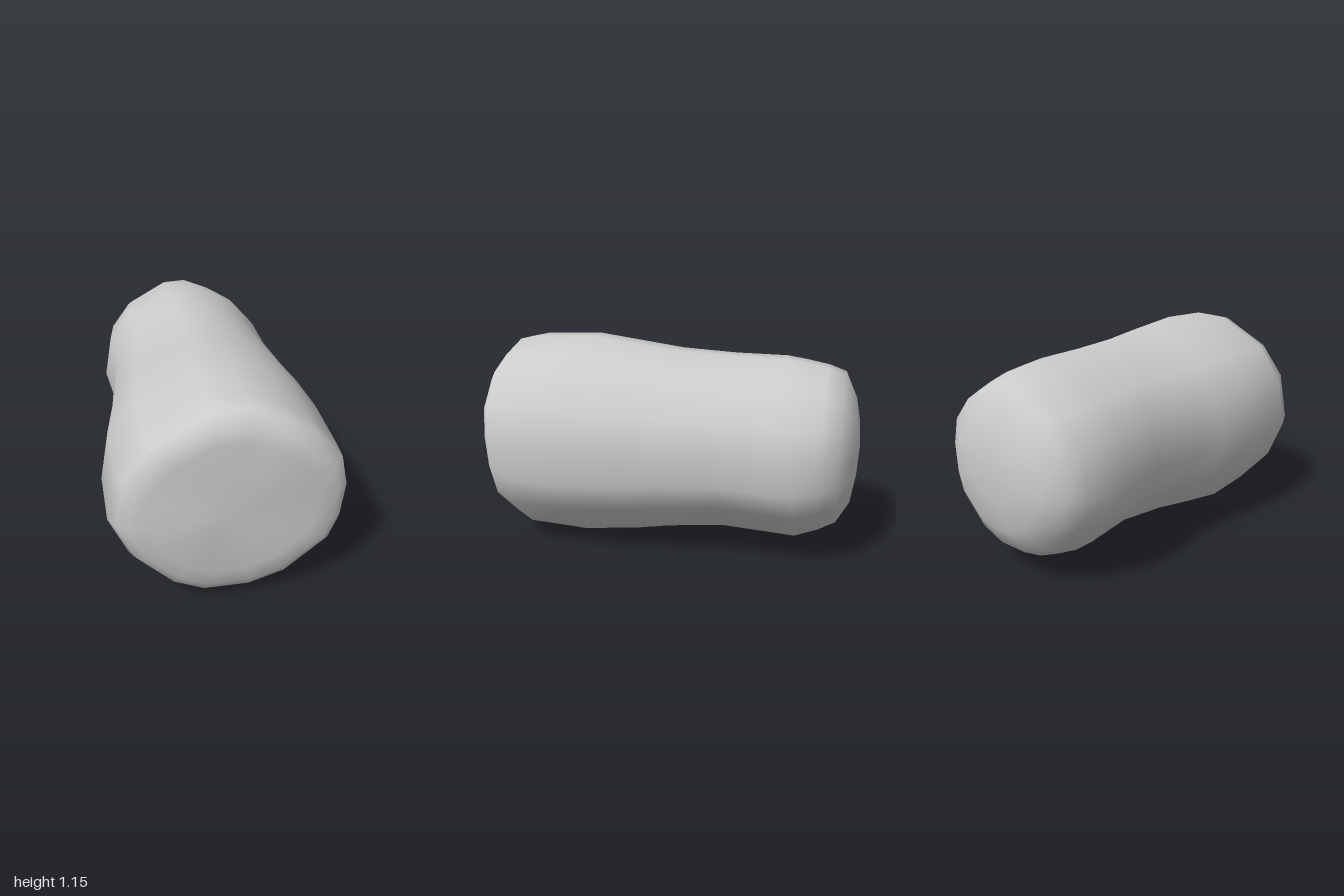
import * as THREE from 'three';

// Outline of the body seen end-on (clockwise from the top), as x, y
const outline = [[-0.1, 1.14], [0.08, 1.15], [0.25, 1.08], [0.38, 1.0], [0.53, 0.83], [0.575, 0.64],
  [0.56, 0.43], [0.51, 0.28], [0.29, 0.07], [0.1, 0], [-0.14, 0], [-0.3, 0.08], [-0.49, 0.29],
  [-0.58, 0.51], [-0.53, 0.79], [-0.39, 0.98]];

// Cross-sections from front to back: z, bottom, top, x min, x max
const sections = [
  [0.97, 0.43, 0.76, -0.2, 0.2],
  [0.97, 0.24, 0.98, -0.4, 0.42],
  [0.96, 0.15, 1.05, -0.48, 0.51],
  [0.92, 0.08, 1.12, -0.53, 0.56],
  [0.83, 0.015, 1.14, -0.565, 0.57],
  [0.5, 0, 1.15, -0.578, 0.572],
  [0.2, 0.04, 1.115, -0.53, 0.555],
  [0, 0.075, 1.09, -0.5, 0.525],
  [-0.3, 0.105, 1.075, -0.47, 0.487],
  [-0.58, 0.09, 1.07, -0.5, 0.49],
  [-0.69, 0.085, 1.055, -0.487, 0.485],
  [-0.81, 0.125, 1.03, -0.467, 0.44],
  [-0.9, 0.175, 1.0, -0.415, 0.395],
  [-0.965, 0.29, 0.86, -0.3, 0.29],
  [-0.99, 0.44, 0.73, -0.17, 0.15],
];

// Two soft swellings that make the front end slightly uneven
function swelling(x, y) {
  const bump = (cx, cy) => Math.exp(-((x - cx) ** 2 + (y - cy) ** 2) / 0.05);
  return 0.03 * bump(-0.2, 0.48) + 0.03 * bump(0.36, 0.93);
}

export function createModel() {
  const n = outline.length;
  const positions = [];
  const index = [];

  // Rings, fitted to the extents of every cross-section
  for (const [z, bottom, top, left, right] of sections) {
    for (const [px, py] of outline) {
      const x = left + (right - left) * (px + 0.58) / 1.155;
      const y = bottom + (top - bottom) * py / 1.15;
      positions.push(x, y, z > 0.9 ? z + swelling(x, y) : z);
    }
  }

  // Side wall
  for (let s = 0; s < sections.length - 1; s++) {
    for (let i = 0; i < n; i++) {
      const a = s * n + i, b = s * n + (i + 1) % n;
      index.push(a, b, a + n, b, b + n, a + n);
    }
  }

  // End caps
  const front = positions.length / 3, back = front + 1;
  positions.push(0, 0.6, 0.97 + swelling(0, 0.6), -0.02, 0.6, -1);
  const last = (sections.length - 1) * n;
  for (let i = 0; i < n; i++) {
    const j = (i + 1) % n;
    index.push(front, j, i, back, last + i, last + j);
  }

  const geometry = new THREE.BufferGeometry();
  geometry.setAttribute('position', new THREE.Float32BufferAttribute(positions, 3));
  geometry.setIndex(index);
  geometry.computeVertexNormals();

  const body = new THREE.Mesh(geometry, new THREE.MeshStandardMaterial({ color: 0xcccccc }));
  body.name = 'body';
  const group = new THREE.Group();
  group.name = 'roundedLog';
  group.add(body);
  return group;
}
